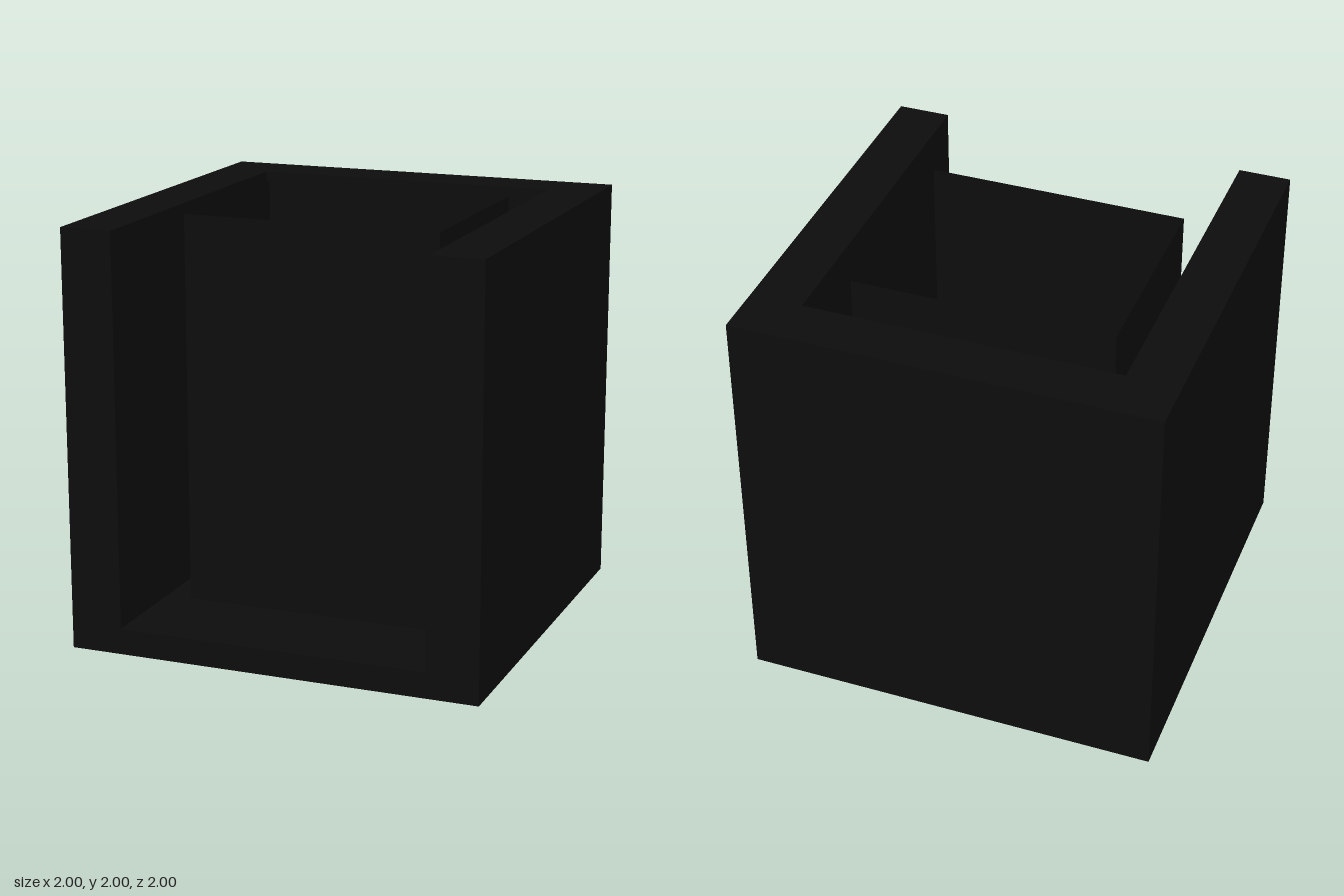
import * as THREE from 'three';

export function createModel() {
  const group = new THREE.Group();
  const black = new THREE.MeshStandardMaterial({ color: 0x0d0d0d, side: THREE.DoubleSide });
  black.name = 'near black';

  const add = (name, geometry, x, y, z) => {
    const mesh = new THREE.Mesh(geometry, black);
    mesh.name = name;
    mesh.position.set(x, y, z);
    group.add(mesh);
    return mesh;
  };

  const floorTop = 0.125;
  const wallHeight = 2 - floorTop;

  // Base slab
  add('floor', new THREE.BoxGeometry(2, floorTop, 2), 0, floorTop / 2, 0);

  // U-shaped casing, open at the front and top
  const plan = new THREE.Shape([
    [-1, -1], [1, -1], [1, 1], [0.75, 1], [0.75, -0.75], [-0.75, -0.75], [-0.75, 1], [-1, 1],
  ].map(([x, z]) => new THREE.Vector2(x, -z)));
  const casing = new THREE.ExtrudeGeometry(plan, { depth: wallHeight, bevelEnabled: false });
  casing.rotateX(-Math.PI / 2);
  add('casing', casing, 0, floorTop, 0);

  // Thin open-topped liner standing inside the casing
  const width = 1.25, depth = 1, midY = floorTop + wallHeight / 2;
  for (const side of [1, -1]) {
    const face = add(side > 0 ? 'linerFront' : 'linerBack',
      new THREE.PlaneGeometry(width, wallHeight), 0, midY, side * depth / 2);
    face.rotation.y = side > 0 ? 0 : Math.PI;
    const flank = add(side > 0 ? 'linerLeft' : 'linerRight',
      new THREE.PlaneGeometry(depth, wallHeight), side * width / 2, midY, 0);
    flank.rotation.y = side * Math.PI / 2;
  }

  // Small block against the back wall
  add('backBlock', new THREE.BoxGeometry(0.25, 0.25, 0.125), 0.5, floorTop + 0.125, -0.6875);

  return group;
}
